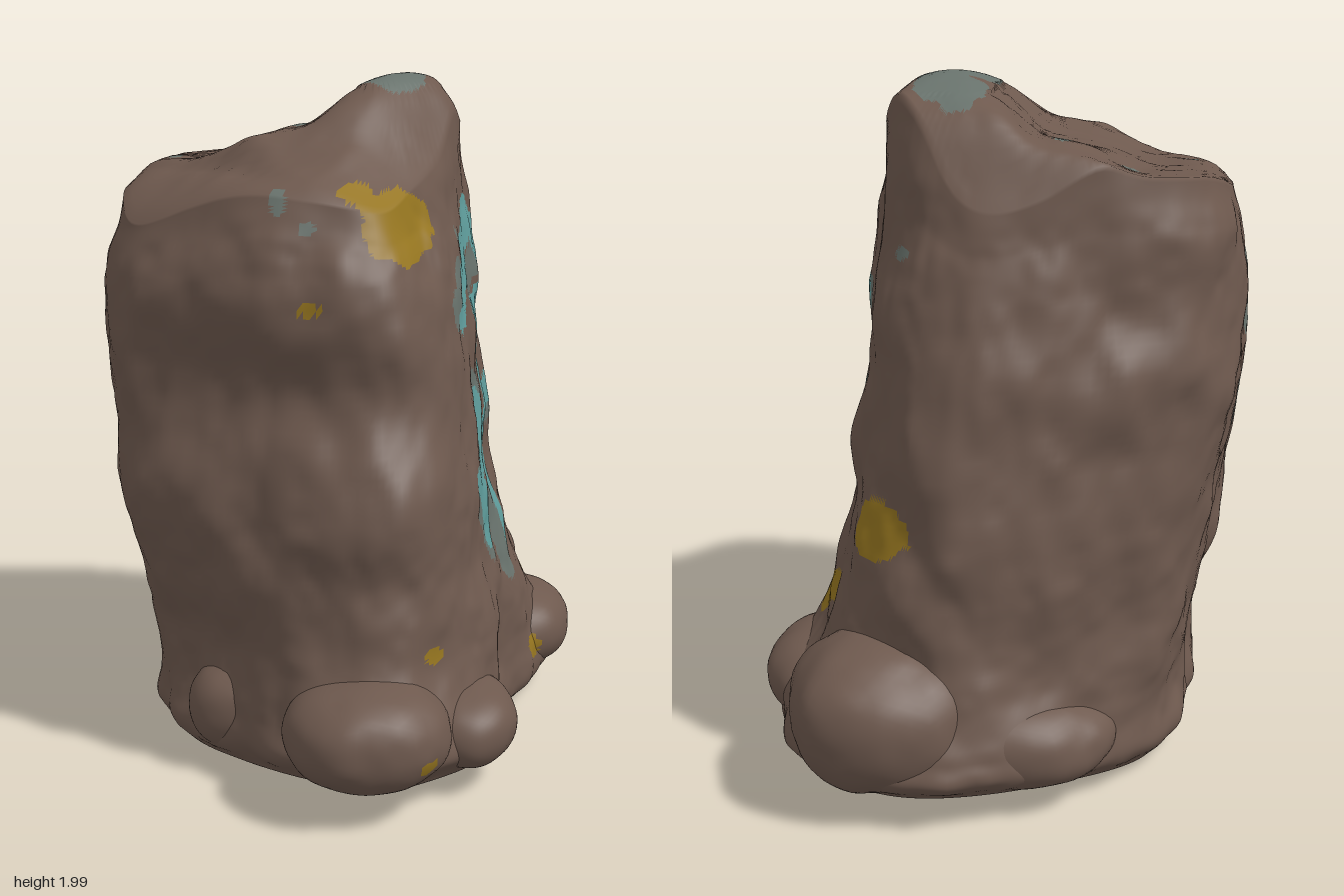
import * as THREE from 'three';
import { mergeVertices } from 'three/addons/utils/BufferGeometryUtils.js';

const mat = (name, color) => Object.assign(new THREE.MeshStandardMaterial({ color }), { name });

// seeded smooth noise, about -1..1
const hash = (x, y, z) => {
  const s = Math.sin(x * 127.1 + y * 311.7 + z * 74.7) * 43758.5453;
  return (s - Math.floor(s)) * 2 - 1;
};
const { lerp, smoothstep, clamp } = THREE.MathUtils;
function noise(x, y, z) {
  const X = Math.floor(x), Y = Math.floor(y), Z = Math.floor(z);
  const f = (t) => t * t * (3 - 2 * t);
  const u = f(x - X), v = f(y - Y), w = f(z - Z);
  const row = (j, k) => lerp(hash(X, Y + j, Z + k), hash(X + 1, Y + j, Z + k), u);
  return lerp(lerp(row(0, 0), row(1, 0), v), lerp(row(0, 1), row(1, 1), v), w);
}
const rough = (p) => 0.026 * noise(p.x * 5, p.y * 5, p.z * 5)
  + 0.014 * noise(p.x * 11 + 7, p.y * 8, p.z * 11) + 0.004 * noise(p.x * 24, p.y * 20 + 3, p.z * 24);

// piecewise linear profile lookup, softened by averaging
function lookup(pts, t) {
  if (t <= pts[0][0]) return pts[0][1];
  for (let i = 1; i < pts.length; i++) {
    const [a, ya] = pts[i - 1], [b, yb] = pts[i];
    if (t <= b) return lerp(ya, yb, (t - a) / (b - a));
  }
  return pts[pts.length - 1][1];
}
const profile = (pts, t) => (lookup(pts, t - 0.03) + lookup(pts, t) + lookup(pts, t + 0.03)) / 3;

// height of the sloping top: profiles across, front to back and to both front corners, blended
const ACROSS = [[-0.73, 1.55], [-0.66, 1.69], [-0.6, 1.74], [-0.4, 1.755], [-0.27, 1.81], [-0.12, 1.84],
  [0, 1.95], [0.1, 2], [0.2, 2.02], [0.28, 1.97], [0.35, 1.82], [0.4, 1.65]];
const ALONG = [[-0.74, 1.5], [-0.7, 1.62], [-0.62, 1.7], [-0.58, 1.81], [-0.54, 1.89], [-0.45, 1.96], [-0.25, 2.01],
  [0, 2.02], [0.13, 1.97], [0.2, 1.93], [0.33, 1.78], [0.4, 1.74], [0.5, 1.71], [0.58, 1.65], [0.63, 1.52]];
const RIGHT_CORNER = [[0.3, 2.1], [0.42, 1.74], [0.56, 1.68], [0.66, 1.6], [0.73, 1.5]];
const LEFT_CORNER = [[0, 2.1], [0.17, 1.97], [0.28, 1.77], [0.39, 1.67], [0.5, 1.58]];
function blend(a, b) {
  const k = 0.06, h = Math.max(k - Math.abs(a - b), 0) / k;
  return Math.min(a, b) - h * h * k / 4;
}
const topY = (x, z) => [profile(ACROSS, x), profile(ALONG, z), profile(RIGHT_CORNER, (z - x) * Math.SQRT1_2),
  profile(LEFT_CORNER, (x + z) * Math.SQRT1_2)].reduce(blend);

// plan outlines [x, z], from the model's right round the front
const BASE = [[-0.58, -0.05], [-0.53, 0.33], [-0.34, 0.55], [-0.1, 0.79], [0.13, 0.9], [0.39, 0.62],
  [0.5, 0.15], [0.66, -0.3], [0.5, -0.8], [0.26, -0.94], [-0.11, -0.86], [-0.49, -0.5]];
const LOW = [[-0.59, -0.05], [-0.54, 0.34], [-0.34, 0.54], [-0.1, 0.73], [0.15, 0.75], [0.35, 0.55],
  [0.48, 0.15], [0.54, -0.28], [0.43, -0.66], [0.14, -0.83], [-0.15, -0.75], [-0.52, -0.47]];
const MID = [[-0.67, -0.05], [-0.63, 0.38], [-0.37, 0.57], [-0.1, 0.71], [0.16, 0.73], [0.33, 0.5],
  [0.41, 0.15], [0.45, -0.26], [0.34, -0.64], [0.12, -0.81], [-0.15, -0.75], [-0.55, -0.5]];
const HIGH = [[-0.71, -0.08], [-0.65, 0.37], [-0.4, 0.54], [-0.12, 0.64], [0.12, 0.63], [0.26, 0.43],
  [0.34, 0.12], [0.36, -0.25], [0.28, -0.59], [0.08, -0.73], [-0.2, -0.67], [-0.6, -0.47]];
const RIM = [[-0.66, -0.08], [-0.61, 0.34], [-0.37, 0.48], [-0.11, 0.56], [0.09, 0.54], [0.19, 0.35],
  [0.28, 0.1], [0.33, -0.23], [0.21, -0.5], [0.04, -0.64], [-0.2, -0.61], [-0.56, -0.42]];
const loop = (pts) => new THREE.CatmullRomCurve3(pts.map(([x, z]) => new THREE.Vector3(x, 0, z)), true);

// painted marks on the side face, as strokes [z1, y1, z2, y2, half width]
const GLOW = [[0.26, 1.29, 0.12, 1.41, 0.036], [0.14, 1.41, -0.05, 1.57, 0.056], [-0.06, 1.58, -0.16, 1.47, 0.06],
  [-0.16, 1.46, -0.25, 1.36, 0.048], [0.05, 1.285, -0.07, 1.275, 0.05], [-0.06, 1.32, -0.24, 1.35, 0.036],
  [-0.01, 1.24, -0.025, 0.95, 0.032], [-0.02, 0.95, -0.025, 0.54, 0.026], [-0.02, 0.94, -0.15, 1.02, 0.048],
  [-0.15, 1.02, -0.25, 1.09, 0.036], [-0.25, 1.09, -0.31, 1.04, 0.022], [0.16, 1.02, 0.16, 0.9, 0.056],
  [0.16, 0.89, 0.28, 0.81, 0.048], [0.16, 0.88, 0, 0.95, 0.038], [0.23, 0.8, 0.18, 0.62, 0.038]];
const FADED = [[0.32, 1.32, 0.2, 1.42, 0.045], [-0.15, 1.32, -0.29, 1.38, 0.05], [0.06, 1.2, -0.08, 1.17, 0.04],
  [0.04, 1.38, -0.08, 1.44, 0.05], [0.2, 1.1, 0.12, 1.08, 0.04], [-0.14, 0.97, -0.29, 0.99, 0.06],
  [-0.2, 0.95, -0.23, 0.83, 0.05], [0.28, 0.76, 0.18, 0.6, 0.045], [0.06, 0.85, 0.04, 0.51, 0.06],
  [0.11, 0.8, 0.08, 0.6, 0.04]];
const LICHEN_STRIP = [[-0.27, 0.42, -0.36, 0.49, 0.045], [-0.36, 0.5, -0.45, 0.53, 0.045]];
const onStroke = (strokes, z, y, extra) => strokes.some(([z1, y1, z2, y2, w]) => {
  const dz = z2 - z1, dy = y2 - y1;
  const t = clamp(((z - z1) * dz + (y - y1) * dy) / (dz * dz + dy * dy), 0, 1);
  return Math.hypot(z - z1 - t * dz, y - y1 - t * dy) < w + extra;
});

// patches as ellipsoids [x, y, z, rx, ry, rz]
const LICHEN = [[0.14, 1.57, 0.43, 0.12, 0.12, 0.19], [0.03, 1.67, 0.46, 0.06, 0.03, 0.12],
  [0.25, 0.41, 0.62, 0.04, 0.035, 0.06], [-0.08, 1.37, 0.65, 0.035, 0.018, 0.12],
  [0.25, 0.19, 0.89, 0.1, 0.02, 0.025], [0.56, 0.19, -0.04, 0.08, 0.04, 0.035],
  [0.3, 0.8, -0.7, 0.12, 0.085, 0.1]];
const PALE = [[0.1, 1.98, -0.35, 0.07, 0.15, 0.19], [0.12, 1.98, -0.02, 0.1, 0.15, 0.14],
  [0.17, 1.98, -0.2, 0.07, 0.15, 0.27], [-0.37, 1.76, -0.39, 0.025, 0.08, 0.05],
  [-0.18, 1.82, -0.39, 0.025, 0.08, 0.05], [-0.54, 1.74, -0.06, 0.02, 0.08, 0.025],
  [-0.17, 1.65, 0.55, 0.02, 0.035, 0.12], [-0.09, 1.58, 0.63, 0.025, 0.02, 0.12],
  [0.3, 1.53, 0.17, 0.12, 0.025, 0.015], [0.33, 1.89, -0.18, 0.1, 0.025, 0.012], [0.25, 1.55, -0.64, 0.04, 0.02, 0.1],
  [-0.7, 1.37, 0.04, 0.12, 0.15, 0.15], [-0.7, 1.04, 0.12, 0.12, 0.09, 0.1], [-0.69, 0.97, -0.09, 0.12, 0.09, 0.07]];
const onPatch = (list, p, n) => list.some(([x, y, z, a, b, c]) =>
  ((p.x - x) / a) ** 2 + ((p.y - y) / b) ** 2 + ((p.z - z) / c) ** 2 < 1 + n);

// material index for a spot: 0 rock, 1 lichen, 2 teal paint, 3 faded paint
function paintAt(p) {
  const n = noise(p.x * 22, p.y * 22, p.z * 22);
  if (onPatch(LICHEN, p, n * 0.35)) return 1;
  if (p.x > 0.15) {
    if (onStroke(LICHEN_STRIP, p.z, p.y, n * 0.012)) return 1;
    if (onStroke(GLOW, p.z, p.y, n * 0.008)) return 2;
    if (onStroke(FADED, p.z, p.y, n * 0.015)) return 3;
  }
  return onPatch(PALE, p, n * 0.3) ? 3 : 0;
}
// sort the faces into one geometry group per colour
function paintFaces(geo) {
  const pos = geo.attributes.position, idx = geo.index.array, sets = [[], [], [], []];
  const p = new THREE.Vector3(), q = new THREE.Vector3();
  for (let i = 0; i < idx.length; i += 3) {
    p.set(0, 0, 0);
    for (let k = 0; k < 3; k++) p.add(q.fromBufferAttribute(pos, idx[i + k]));
    sets[paintAt(p.divideScalar(3))].push(idx[i], idx[i + 1], idx[i + 2]);
  }
  geo.setIndex(sets.flat());
  geo.clearGroups();
  let start = 0;
  sets.forEach((s, m) => { if (s.length) geo.addGroup(start, s.length, m); start += s.length; });
  geo.computeVertexNormals();
  return geo;
}

// standing stone: columns swept round the outlines, closed below and above
function stoneGeometry() {
  const N = 300, SIDE = 150, CAP = 28, FOOT = 6;
  const [base, low, mid, high, rim] = [BASE, LOW, MID, HIGH, RIM].map(loop);
  const rows = FOOT + SIDE + CAP, verts = [], index = [], p = new THREE.Vector3();
  for (let r = 0; r <= rows; r++) verts.push([]);
  for (let i = 0; i < N; i++) {
    // columns stand closer together on the painted face
    const u = lookup([[0, 0], [70, 0.4], [230, 0.72], [N, 1]], i);
    const at = (c, y, s = 1) => { const v = c.getPoint(u); return v.set(v.x * s, y, v.z * s); };
    const sole = at(base, 0.02, 0.91), edge = at(rim, 0);
    const lift = 0.06 * smoothstep(Math.abs(sole.z), 0.4, 0.85);
    sole.y += lift;
    edge.y = topY(edge.x, edge.z);
    const column = new THREE.CatmullRomCurve3([sole, at(base, 0.1 + lift), at(base, 0.22, 0.98), at(low, 0.41),
      at(mid, 0.8), at(high, 1.43), edge]);
    for (let r = 0; r <= rows; r++) {
      if (r < FOOT) {
        const s = r / FOOT;
        p.set(sole.x * s, 0.005 + (sole.y - 0.005) * s * s, sole.z * s);
      } else if (r <= FOOT + SIDE) {
        const t = (r - FOOT) / SIDE;
        column.getPoint(t, p);
        const d = rough(p) * Math.min(1, t * 10, (1 - t) * 12), l = Math.hypot(p.x, p.z);
        p.x += d * p.x / l;
        p.z += d * p.z / l;
        // hollow waist across the front
        p.z -= 0.08 * Math.exp(-(((p.y - 1.1) / 0.16) ** 2)) * smoothstep(p.z, 0.35, 0.7);
      } else {
        const s = 1 - (r - FOOT - SIDE) / CAP;
        p.set(edge.x * s + 0.05 * (1 - s), 0, edge.z * s - 0.1 * (1 - s));
        p.y = topY(p.x, p.z);
        p.y += rough(p) * 0.5 * Math.min(1, (1 - s) * 5) * (p.y > 1.96 ? 0.2 : 1);
      }
      verts[r].push(p.x, p.y, p.z);
    }
  }
  for (let r = 0; r < rows; r++) for (let i = 0; i < N; i++) {
    const a = r * N + i, b = r * N + (i + 1) % N;
    if (r > 0) index.push(a, b, b + N);
    if (r < rows - 1) index.push(a, b + N, a + N);
  }
  const geo = new THREE.BufferGeometry();
  geo.setAttribute('position', new THREE.Float32BufferAttribute(verts.flat(), 3));
  geo.setIndex(index);
  return paintFaces(geo);
}

// boulder: a squared-off ball with a rough skin
function boulderGeometry([x, y, z, a, b, c]) {
  let geo = new THREE.IcosahedronGeometry(1, 11);
  geo.deleteAttribute('normal');
  geo.deleteAttribute('uv');
  geo = mergeVertices(geo);
  const pos = geo.attributes.position, v = new THREE.Vector3();
  for (let i = 0; i < pos.count; i++) {
    v.fromBufferAttribute(pos, i);
    v.divideScalar((Math.abs(v.x) ** 2.2 + Math.abs(v.y) ** 2.2 + Math.abs(v.z) ** 2.2) ** (1 / 2.2));
    v.set(x + v.x * a, y + v.y * b, z + v.z * c);
    const k = 1 + rough(v) * 2.4;
    pos.setXYZ(i, x + (v.x - x) * k, y + (v.y - y) * k, z + (v.z - z) * k);
  }
  return paintFaces(geo);
}

export function createModel() {
  const group = new THREE.Group();
  const materials = [mat('brown rock', 0x6e594e), mat('yellow lichen', 0x967620),
    mat('teal paint', 0x5f9d9c), mat('faded paint', 0x68726c)];
  const add = (name, geo) => {
    const mesh = new THREE.Mesh(geo, materials);
    mesh.name = name;
    group.add(mesh);
  };
  add('standingStone', stoneGeometry());
  // boulders round the foot [x, y, z, rx, ry, rz]
  const boulders = {
    frontBoulder: [0.08, 0.23, 0.75, 0.23, 0.15, 0.23],
    frontLeftBoulder: [0.35, 0.18, 0.53, 0.15, 0.12, 0.2],
    leftBoulder: [0.49, 0.2, -0.29, 0.23, 0.14, 0.25],
    backBoulder: [0.29, 0.28, -0.71, 0.27, 0.22, 0.27],
    backLedge: [-0.04, 0.2, -0.67, 0.32, 0.14, 0.2],
    frontRightBulge: [-0.28, 0.19, 0.44, 0.18, 0.14, 0.15],
  };
  for (const [name, spec] of Object.entries(boulders)) add(name, boulderGeometry(spec));
  return group;
}
